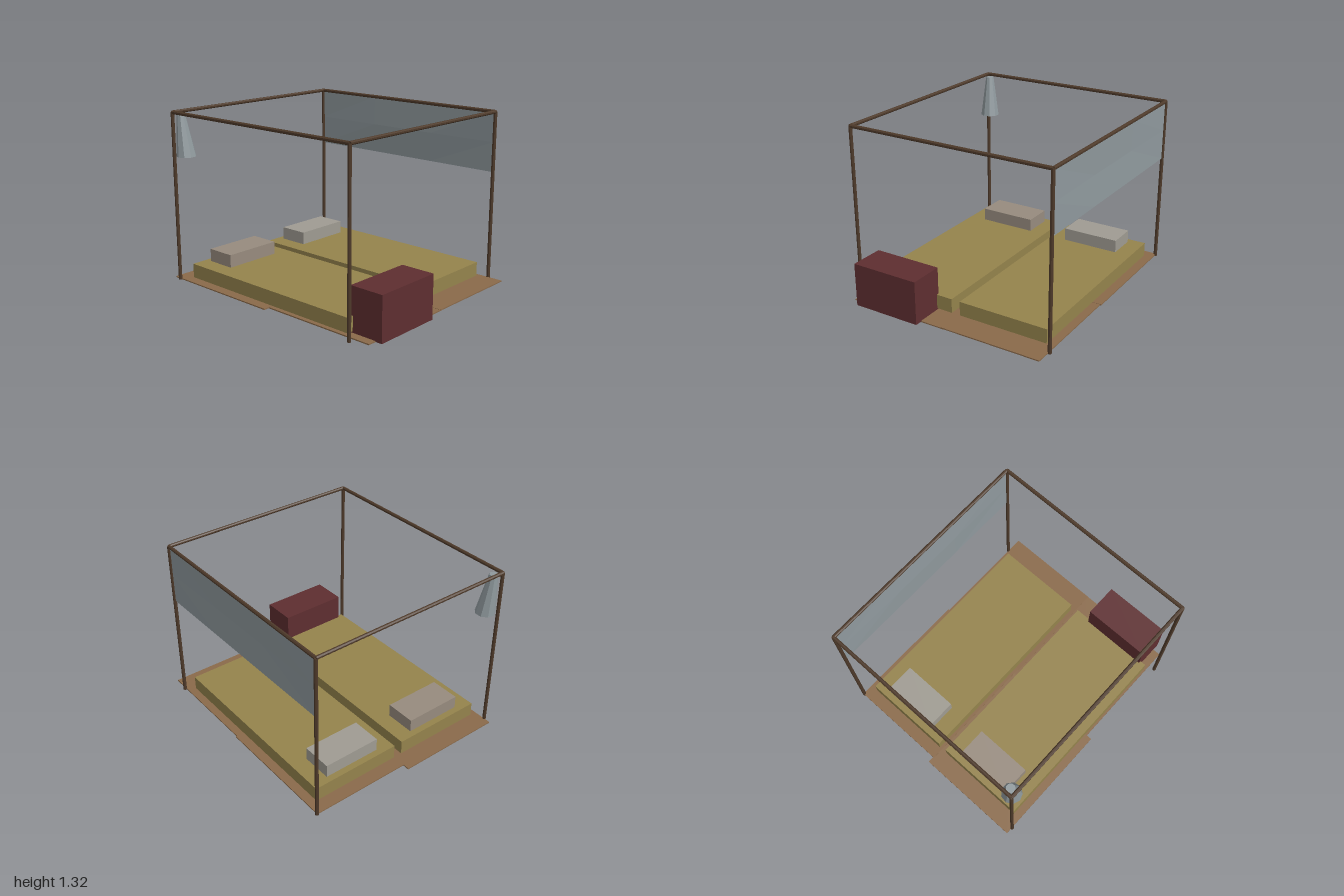
import * as THREE from 'three';

const mat = (color, extra = {}) => new THREE.MeshStandardMaterial({ color, flatShading: true, ...extra });

export function createModel() {
  const model = new THREE.Group();
  const wood = mat(0x4e3a2a);
  const plank = mat(0x8a6a4a);
  const bedding = mat(0x94834c);
  const chestRed = mat(0x5e2e30);
  const cloth = mat(0x8f999d, { side: THREE.DoubleSide });

  function add(name, geometry, material) {
    const mesh = new THREE.Mesh(geometry, material);
    mesh.name = name;
    model.add(mesh);
    return mesh;
  }

  // Box given by its limits on each axis
  function box(name, [x0, x1], [y0, y1], [z0, z1], material) {
    const mesh = add(name, new THREE.BoxGeometry(x1 - x0, y1 - y0, z1 - z0), material);
    mesh.position.set((x0 + x1) / 2, (y0 + y1) / 2, (z0 + z1) / 2);
  }

  // Eight-sided pole between two points
  function pole(name, a, b) {
    const from = new THREE.Vector3(...a), to = new THREE.Vector3(...b);
    const dir = to.clone().sub(from);
    const geometry = new THREE.CylinderGeometry(0.014, 0.014, dir.length(), 8);
    geometry.rotateY(Math.PI / 8);
    const mesh = add(name, geometry, wood);
    mesh.position.copy(from).add(to).multiplyScalar(0.5);
    mesh.quaternion.setFromUnitVectors(new THREE.Vector3(0, 1, 0), dir.normalize());
  }

  // Floor of four slightly overlapping panels
  box('floorBackRight', [-0.95, 0.06], [0.004, 0.013], [-0.82, -0.02], plank);
  box('floorBackLeft', [0.05, 0.945], [0.002, 0.011], [-0.81, -0.01], plank);
  box('floorFrontRight', [-1, 0.01], [0.001, 0.01], [-0.03, 0.815], plank);
  box('floorFrontLeft', [-0.02, 0.945], [0, 0.009], [-0.03, 0.77], plank);

  // Two mattresses with pillows
  box('backMattress', [-0.855, 0.75], [0.02, 0.13], [-0.755, -0.04], bedding);
  box('frontMattress', [-0.855, 0.75], [0.02, 0.13], [0.03, 0.755], bedding);
  box('backPillow', [-0.805, -0.57], [0.13, 0.23], [-0.625, -0.17], mat(0x9f9b92));
  box('frontPillow', [-0.805, -0.57], [0.13, 0.23], [0.16, 0.62], mat(0x978b7e));

  // Storage chest
  box('chest', [0.73, 1], [0.003, 0.34], [0.16, 0.705], chestRed);

  // Frame of posts and top rails
  const xs = [-0.943, 0.818], zs = [-0.817, 0.817], top = 1.312;
  for (const x of xs) {
    for (const z of zs) pole('post', [x, 0, z], [x, top, z]);
    pole('sideRail', [x, top, zs[0]], [x, top, zs[1]]);
  }
  for (const z of zs) pole('crossRail', [xs[0], top, z], [xs[1], top, z]);

  // Hanging cloth along the back, with a very slight billow
  const curtain = new THREE.PlaneGeometry(1.75, 0.46, 3, 2);
  const cp = curtain.attributes.position;
  for (let i = 0; i < cp.count; i++) {
    const inner = Math.abs(cp.getX(i)) < 0.5 && Math.abs(cp.getY(i)) < 0.1;
    if (inner) cp.setZ(i, 0.006);
  }
  curtain.computeVertexNormals();
  add('backCurtain', curtain, cloth).position.set(-0.0625, 1.08, -0.817);

  // Gathered cloth in the front corner: a frustum leaning inwards
  const bundle = new THREE.CylinderGeometry(0.032, 0.075, 0.32, 9);
  const bp = bundle.attributes.position;
  for (let i = 0; i < bp.count; i++) {
    const t = bp.getY(i) / 0.32 + 0.5;
    bp.setX(i, bp.getX(i) - 0.025 * t);
    bp.setZ(i, bp.getZ(i) + 0.015 * t);
  }
  bundle.computeVertexNormals();
  add('gatheredCloth', bundle, cloth).position.set(-0.875, 1.14, 0.757);

  return model;
}
